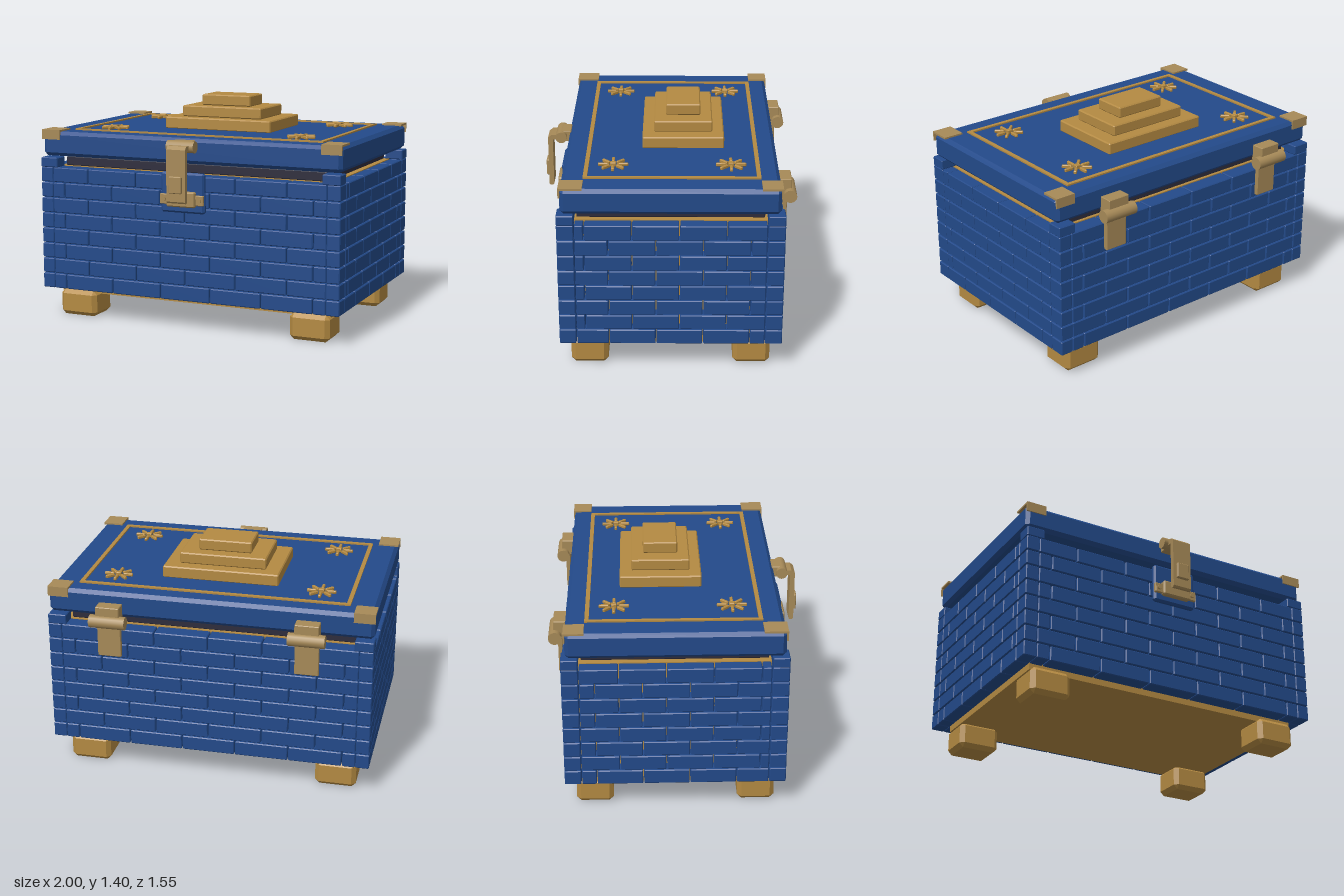
import * as THREE from 'three';
import { mergeGeometries } from 'three/addons/utils/BufferGeometryUtils.js';
import { ConvexGeometry } from 'three/addons/geometries/ConvexGeometry.js';

const makeMaterial = (name, color) => {
  const m = new THREE.MeshStandardMaterial({ color });
  m.name = name;
  return m;
};

// Box given by its limits, with every edge cut by a flat bevel b
function block(x0, x1, y0, y1, z0, z1, b = 0) {
  const hx = (x1 - x0) / 2, hy = (y1 - y0) / 2, hz = (z1 - z0) / 2;
  let geo;
  if (b > 0) {
    const pts = [];
    for (const sx of [-1, 1]) for (const sy of [-1, 1]) for (const sz of [-1, 1]) {
      pts.push(
        new THREE.Vector3(sx * hx, sy * (hy - b), sz * (hz - b)),
        new THREE.Vector3(sx * (hx - b), sy * hy, sz * (hz - b)),
        new THREE.Vector3(sx * (hx - b), sy * (hy - b), sz * hz));
    }
    geo = new ConvexGeometry(pts);
  } else {
    geo = new THREE.BoxGeometry(hx * 2, hy * 2, hz * 2);
  }
  return geo.translate((x0 + x1) / 2, (y0 + y1) / 2, (z0 + z1) / 2);
}

export function createModel() {
  const blue = makeMaterial('blue', 0x234a8a);
  const gold = makeMaterial('gold', 0xb48a42);
  const brass = makeMaterial('brass', 0xa78a58);
  const dark = makeMaterial('dark', 0x2d2c3c);

  const chest = new THREE.Group();
  chest.name = 'chest';
  const add = (name, geo, mat, parent = chest) => {
    const mesh = new THREE.Mesh(geo, mat);
    mesh.name = name;
    parent.add(mesh);
    return mesh;
  };
  const group = (name) => {
    const g = new THREE.Group();
    g.name = name;
    chest.add(g);
    return g;
  };

  // Core behind the bricks, and the dark rim under the lid
  add('core', block(-0.915, 0.915, 0.15, 0.965, -0.59, 0.54), gold);
  add('rim', block(-0.88, 0.88, 0.965, 1.022, -0.575, 0.527, 0.004), dark);

  // Four feet
  for (const x of [-0.915, 0.66]) for (const z of [-0.625, 0.355]) {
    add('foot', block(x, x + 0.255, 0, 0.165, z, z + 0.225, 0.026), gold);
  }

  // Brick walls: eight rows, every other one shifted by half a brick
  const rows = 8, y0 = 0.182, rowH = 0.0979, gap = 0.003, bevel = 0.005;
  const cuts = (from, to, first, step) => {
    const list = [from];
    for (let v = first; v < to - 0.02; v += step) if (v > from + 0.02) list.push(v);
    return [...list, to];
  };
  const frontBricks = [], backBricks = [], leftBricks = [], rightBricks = [], cornerBricks = [];
  for (let r = 0; r < rows; r++) {
    const a = y0 + r * rowH + gap, b = y0 + (r + 1) * rowH - gap;
    const shift = r % 2;
    const xs = cuts(-0.918, 0.918, shift ? -0.6667 : -0.8333, 1 / 3);
    for (let i = 0; i + 1 < xs.length; i++) {
      const l = xs[i] + gap, h = xs[i + 1] - gap;
      frontBricks.push(block(l, h, a, b, 0.54, 0.64, bevel));
      backBricks.push(block(l, h, a, b, -0.69, -0.59, bevel));
    }
    const zs = cuts(-0.588, 0.538, shift ? -0.355 : -0.495, 0.279);
    for (let i = 0; i + 1 < zs.length; i++) {
      const l = zs[i] + gap, h = zs[i + 1] - gap;
      leftBricks.push(block(0.915, 1, a, b, l, h, bevel));
      rightBricks.push(block(-1, -0.915, a, b, l, h, bevel));
    }
    for (const [x, X] of [[-1, -0.917], [0.917, 1]]) {
      cornerBricks.push(block(x, X, a, b, 0.54, 0.64, bevel));
      cornerBricks.push(block(x, X, a, b, -0.69, -0.59, bevel));
    }
  }
  // Raised corner caps
  for (const [x, X] of [[-1, -0.885], [0.885, 1]]) for (const z of [-0.69, 0.54]) {
    cornerBricks.push(block(x, X, 0.962, 1.024, z, z + 0.1, bevel));
  }
  add('frontBricks', mergeGeometries(frontBricks), blue);
  add('backBricks', mergeGeometries(backBricks), blue);
  add('leftBricks', mergeGeometries(leftBricks), blue);
  add('rightBricks', mergeGeometries(rightBricks), blue);
  add('cornerBricks', mergeGeometries(cornerBricks), blue);

  // Lid with its corner brackets
  add('lid', block(-0.997, 0.997, 1.032, 1.188, -0.663, 0.617, 0.022), blue);
  for (const sx of [-1, 1]) {
    const x0 = sx < 0 ? -1 : 0.872, x1 = x0 + 0.128;
    add('bracketTop', block(x0, x1, 1.186, 1.198, 0.485, 0.624), brass);
    add('bracketFlange', block(x0, x1, 1.137, 1.19, 0.614, 0.624), brass);
    add('bracketTop', block(x0, x1, 1.186, 1.198, -0.67, -0.55), brass);
    add('bracketFlange', block(x0, x1, 1.137, 1.19, -0.67, -0.66), brass);
  }

  // Gold border on the lid
  const border = new THREE.Shape([[-0.835, -0.49], [0.835, -0.49], [0.835, 0.55], [-0.835, 0.55]]
    .map((p) => new THREE.Vector2(...p)));
  border.holes.push(new THREE.Path([[-0.81, -0.465], [-0.81, 0.525], [0.81, 0.525], [0.81, -0.465]]
    .map((p) => new THREE.Vector2(...p))));
  add('lidBorder', new THREE.ExtrudeGeometry(border, { depth: 0.009, bevelEnabled: false })
    .rotateX(-Math.PI / 2).translate(0, 1.188, 0), gold);

  // Stepped top
  [[0.363, -0.347, 0.153, 1.185, 1.26], [0.272, -0.276, 0.083, 1.26, 1.33], [0.167, -0.203, 0.01, 1.33, 1.4]]
    .forEach(([x, za, zb, ya, yb]) => add('topStep', block(-x, x, ya, yb, za, zb, 0.007), gold));

  // Eight-rayed rosettes
  for (const x of [-0.635, 0.635]) for (const z of [-0.38, 0.32]) {
    const rosette = group('rosette');
    rosette.position.set(x, 1.187, z);
    add('rosetteCentre', block(-0.017, 0.017, 0, 0.026, -0.017, 0.017, 0.003), gold, rosette);
    for (let i = 0; i < 8; i++) {
      add('ray', block(0.03, 0.09, 0, 0.02, -0.009, 0.009, 0.004), gold, rosette)
        .rotation.y = i * Math.PI / 4;
    }
  }

  // Front clasp
  const rod = (r, len, x, y, z) => new THREE.CylinderGeometry(r, r, len, 16)
    .rotateZ(Math.PI / 2).translate(x, y, z);
  const clasp = group('clasp');
  add('claspPlate', block(-0.145, 0.145, 0.738, 0.985, 0.63, 0.668, 0.012), blue, clasp);
  add('claspBarrel', rod(0.036, 0.18, 0, 1.145, 0.672), brass, clasp);
  add('claspMount', block(-0.062, 0.062, 1.11, 1.18, 0.61, 0.672, 0.004), brass, clasp);
  // Arm that bends over the barrel and hangs down
  const arm = new THREE.Shape([[0.672, 1.155], [0.735, 1.155], [0.758, 1.135], [0.758, 0.82], [0.75, 0.81],
    [0.735, 0.81], [0.728, 0.82], [0.728, 1.122], [0.672, 1.122]].map(([z, y]) => new THREE.Vector2(-z, y)));
  add('claspArm', new THREE.ExtrudeGeometry(arm, { depth: 0.124, bevelEnabled: false })
    .rotateY(Math.PI / 2).translate(-0.062, 0, 0), brass, clasp);
  add('claspGrip', block(-0.042, 0.042, 0.872, 0.975, 0.752, 0.775, 0.005), brass, clasp);
  add('claspCatch', block(-0.094, 0.094, 0.778, 0.873, 0.66, 0.7, 0.008), brass, clasp);
  add('claspTabs', block(-0.145, 0.145, 0.79, 0.853, 0.66, 0.682, 0.004), brass, clasp);
  for (const x of [-0.118, 0.118]) {
    add('claspScrew', new THREE.CylinderGeometry(0.015, 0.015, 0.012, 8)
      .rotateX(Math.PI / 2).translate(x, 0.822, 0.685), brass, clasp);
  }

  // Rear hinges
  for (const x of [-0.607, 0.607]) {
    const hinge = group('hinge');
    hinge.position.x = x;
    add('hingeBarrel', rod(0.04, 0.222, 0, 1.025, -0.733), brass, hinge);
    add('hingeBlock', block(-0.073, 0.073, 1.02, 1.12, -0.742, -0.655, 0.004), brass, hinge);
    add('hingeLeaf', block(-0.073, 0.073, 0.79, 1.02, -0.716, -0.688, 0.004), brass, hinge);
  }
  return chest;
}
